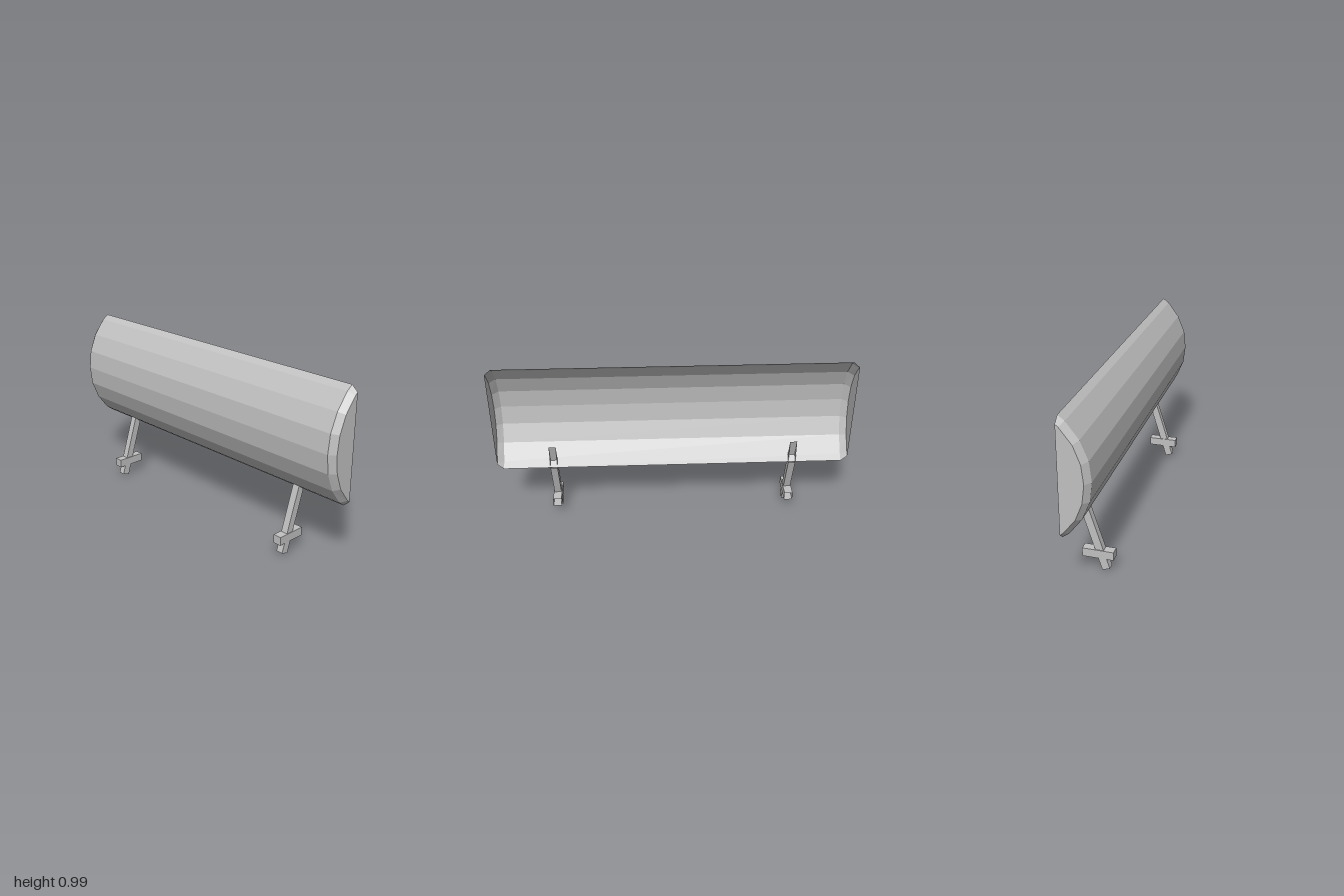
import * as THREE from 'three';

// Joins cross-sections (arrays of [x, y, z]) with flat faces; the caps are optional.
function loft(rings, { closed = false, capStart = false, capEnd = false }) {
  const pos = [];
  const tri = (a, b, c) => pos.push(...a, ...b, ...c);
  for (let r = 0; r < rings.length - 1; r++) {
    const n = rings[r].length;
    for (let i = 0; i < (closed ? n : n - 1); i++) {
      const j = (i + 1) % n;
      tri(rings[r][i], rings[r][j], rings[r + 1][j]);
      tri(rings[r][i], rings[r + 1][j], rings[r + 1][i]);
    }
  }
  const first = rings[0], last = rings[rings.length - 1];
  for (let i = 1; i < first.length - 1; i++) {
    if (capStart) tri(first[0], first[i + 1], first[i]);
    if (capEnd) tri(last[0], last[i], last[i + 1]);
  }
  const geometry = new THREE.BufferGeometry();
  geometry.setAttribute('position', new THREE.Float32BufferAttribute(pos, 3));
  geometry.computeVertexNormals();
  return geometry;
}

export function createModel() {
  const model = new THREE.Group();
  const grey = new THREE.MeshStandardMaterial({ color: 0xc0c0c0, flatShading: true, side: THREE.DoubleSide });
  grey.name = 'lightGrey';

  const add = (name, geometry, parent) => {
    const mesh = new THREE.Mesh(geometry, grey);
    mesh.name = name;
    parent.add(mesh);
  };

  const back = -0.085; // everything is cut open on this plane
  const midY = 0.665;

  // Half profiles as [z, height above the middle], mirrored to the lower half
  const fullProfile = (half) => [...half, ...half.slice(0, -1).reverse().map(([z, h]) => [z, -h])];
  const outer = fullProfile([[back, 0.32], [-0.05, 0.294], [0.016, 0.207], [0.058, 0.106], [0.07, 0]]);
  const inner = fullProfile([[back, 0.289], [-0.07, 0.277], [-0.006, 0.195], [0.031, 0.101], [0.043, 0]]);
  const section = (x, profile) => profile.map(([z, h]) => [x, midY + h, z]);

  // Hollow bowed shell with bevelled, closed ends
  add('shell', loft(
    [section(-1, inner), section(-0.965, outer), section(0.965, outer), section(1, inner)],
    { capStart: true, capEnd: true },
  ), model);

  for (const side of [-1, 1]) {
    const support = new THREE.Group();
    support.name = side > 0 ? 'leftSupport' : 'rightSupport';
    support.position.x = side * 0.682;
    model.add(support);

    // Slanted leg, open where it meets the back plane
    const w = 0.02;
    const legRing = (fy, fz, by, bz) => [[w, fy, fz], [-w, fy, fz], [-w, by, bz], [w, by, bz]];
    add('leg', loft(
      [legRing(0.483, back, 0.341, back), legRing(0.013, 0.063, 0, 0.022)],
      { closed: true, capEnd: true },
    ), support);

    // Crossbar through the leg, open at the back
    const b = 0.024;
    const barRing = (z) => [[-b, 0.07, z], [b, 0.07, z], [b, 0.118, z], [-b, 0.118, z]];
    add('crossbar', loft([barRing(back), barRing(0.085)], { closed: true, capEnd: true }), support);
  }
  return model;
}
